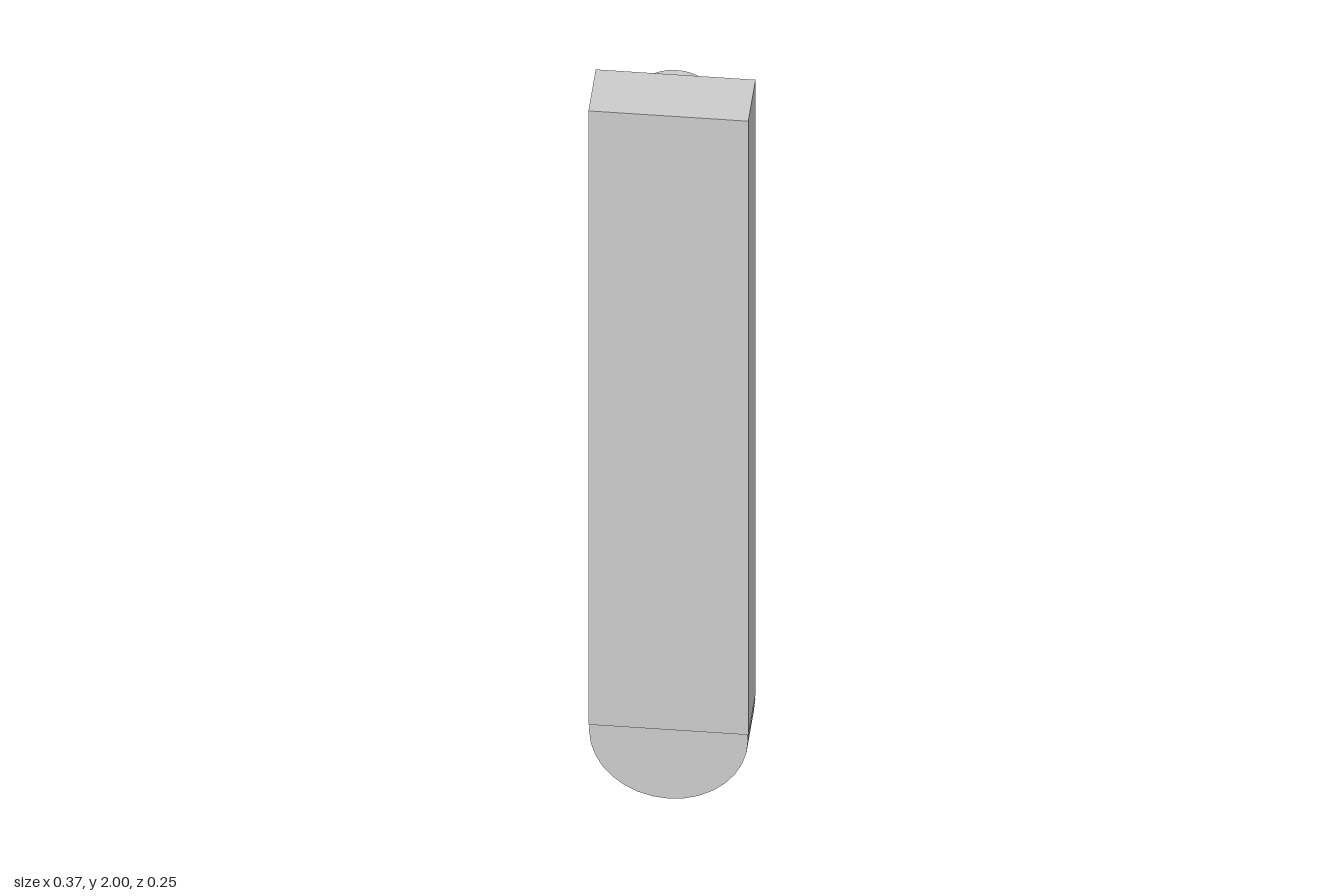
import * as THREE from 'three';

export function createModel() {
  const model = new THREE.Group();
  const material = new THREE.MeshStandardMaterial({ color: 0xcccccc, flatShading: true });

  function add(name, geometry, x, y, z) {
    const mesh = new THREE.Mesh(geometry, material);
    mesh.name = name;
    mesh.position.set(x, y, z);
    model.add(mesh);
  }

  // Faceted disc with its axis along z, spanning zBack to zFront
  function addDisc(name, radius, x, y, zBack, zFront) {
    const geometry = new THREE.CylinderGeometry(radius, radius, zFront - zBack, 32);
    geometry.rotateX(Math.PI / 2);
    add(name, geometry, x, y, (zBack + zFront) / 2);
  }

  // Long flat bar
  add('bar', new THREE.BoxGeometry(0.374, 1.795, 0.16), 0, 1.1025, 0.047);

  // Rounded lower end, set slightly back from the bar
  addDisc('roundedEnd', 0.186, 0, 0.186, -0.037, 0.122);

  // Peg on the back near the top, sunk slightly into the bar
  addDisc('peg', 0.106, -0.008, 1.835, -0.128, -0.02);

  return model;
}
